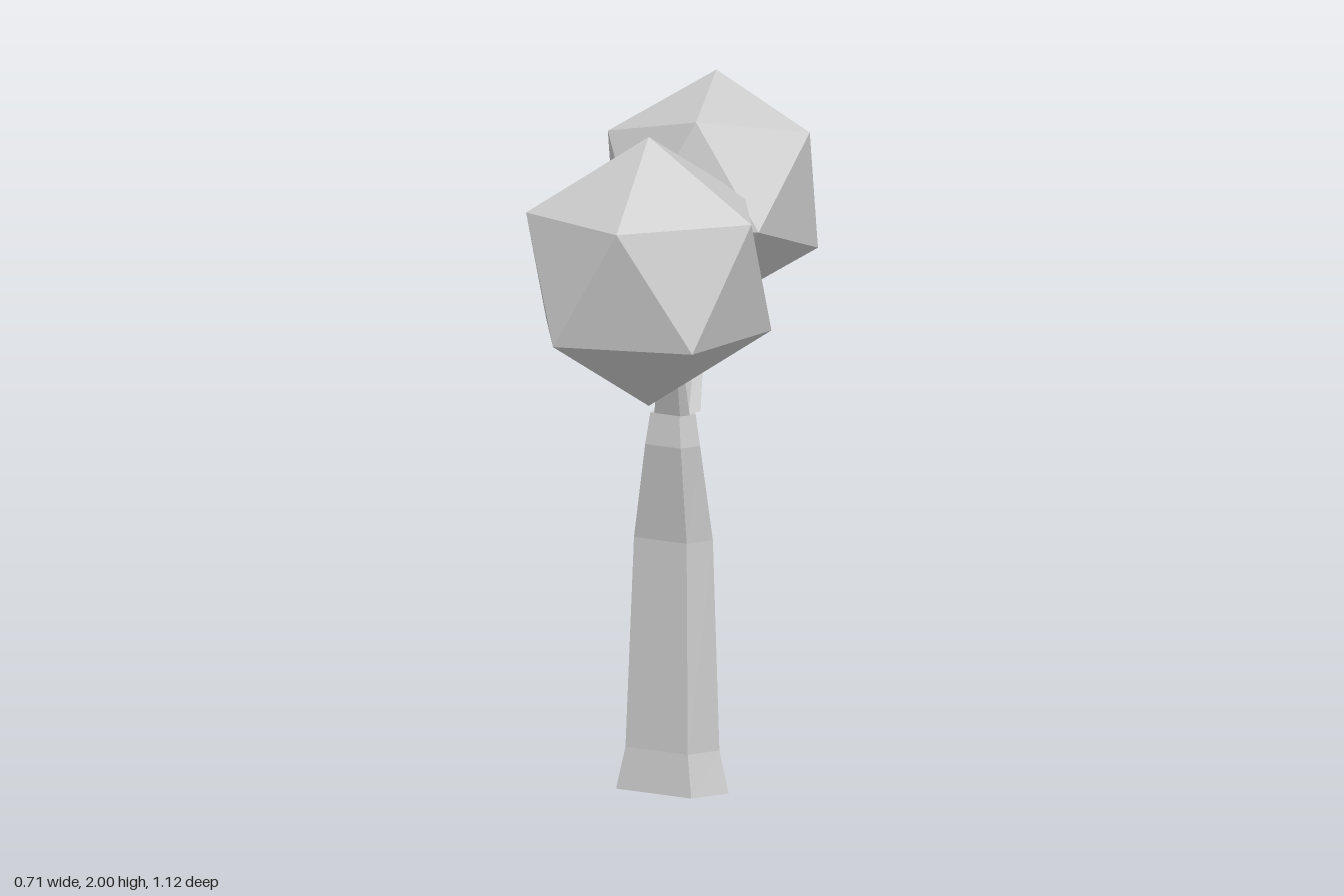
import * as THREE from 'three';

const material = new THREE.MeshStandardMaterial({ color: 0xcccccc, flatShading: true });

// Five-sided outline of the wood, as fractions of its x and z extents
const OUTLINE = [[0.14, 1], [0.86, 1], [1, 0.6], [0.52, 0], [0, 0.52]];

// Loft the outline through levels of [y, xMin, xMax, zMin, zMax], capped at both ends
function wood(name, levels) {
  const n = OUTLINE.length;
  const positions = [];
  const index = [];
  for (const [y, x0, x1, z0, z1] of levels) {
    for (const [u, v] of OUTLINE) positions.push(x0 + u * (x1 - x0), y, z0 + v * (z1 - z0));
  }
  for (let l = 0; l < levels.length - 1; l++) {
    for (let i = 0; i < n; i++) {
      const a = l * n + i;
      const b = l * n + ((i + 1) % n);
      index.push(a, b, b + n, a, b + n, a + n);
    }
  }
  const top = (levels.length - 1) * n;
  for (let i = 1; i < n - 1; i++) {
    index.push(0, i + 1, i, top, top + i, top + i + 1);
  }
  const indexed = new THREE.BufferGeometry();
  indexed.setAttribute('position', new THREE.Float32BufferAttribute(positions, 3));
  indexed.setIndex(index);
  const geometry = indexed.toNonIndexed();
  geometry.computeVertexNormals();
  const mesh = new THREE.Mesh(geometry, material);
  mesh.name = name;
  return mesh;
}

// Icosahedron turned so one corner points along "up" and a neighbouring one along "side"
function foliage(name, radius, center, up, side) {
  const geometry = new THREE.IcosahedronGeometry(radius, 0);
  geometry.rotateZ(-Math.atan(2 / (1 + Math.sqrt(5))));
  const y = new THREE.Vector3(...up).normalize();
  const z = new THREE.Vector3(...side).cross(y).normalize();
  const x = new THREE.Vector3().crossVectors(y, z);
  const mesh = new THREE.Mesh(geometry, material);
  mesh.quaternion.setFromRotationMatrix(new THREE.Matrix4().makeBasis(x, y, z));
  mesh.position.set(...center);
  mesh.name = name;
  return mesh;
}

export function createModel() {
  const tree = new THREE.Group();
  tree.name = 'tree';

  // Flared, bending trunk
  tree.add(wood('trunk', [
    [0, -0.26, 0.09, -0.23, 0.06],
    [0.12, -0.23, 0.06, -0.205, 0.045],
    [0.72, -0.205, 0.04, -0.175, 0.03],
    [1.0, -0.13, 0.035, -0.09, 0.07],
    [1.09, -0.115, 0.02, -0.075, 0.06],
  ]));

  // Forked branches
  tree.add(wood('backBranch', [
    [1.09, -0.115, 0.015, -0.075, 0.005],
    [1.42, -0.12, -0.04, -0.175, -0.125],
  ]));
  tree.add(wood('frontBranch', [
    [1.09, -0.1, 0.02, 0, 0.06],
    [1.29, -0.03, 0.04, 0.09, 0.125],
  ]));

  // Faceted crowns
  tree.add(foliage('frontFoliage', 0.385, [0.01, 1.535, 0.23], [0, 1, 0], [1, 0, 0]));
  tree.add(foliage('backFoliage', 0.338, [-0.08, 1.68, -0.235], [-0.05, 0.32, -0.095], [0.28, 0.18, -0.075]));

  return tree;
}
